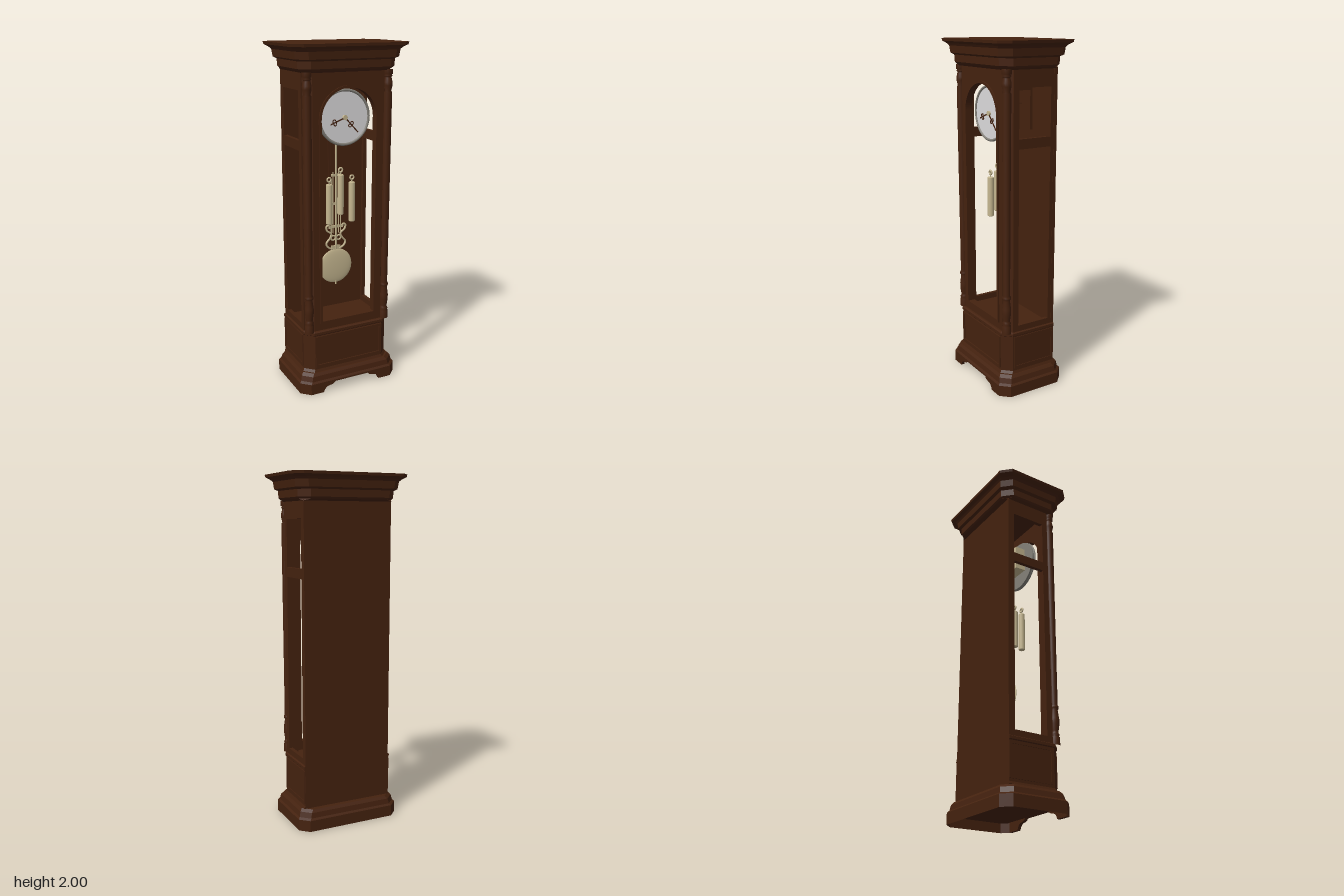
import * as THREE from 'three';

const mat = (name, color, side = THREE.FrontSide) => {
  const m = new THREE.MeshStandardMaterial({ color, side });
  m.name = name;
  return m;
};

export function createModel() {
  const wood = mat('dark wood', 0x45220f);
  const woodThin = mat('dark wood thin', 0x45220f, THREE.DoubleSide);
  const brass = mat('pale brass', 0xc6b790);
  const steel = mat('grey steel', 0x85827a);
  const white = mat('dial white', 0xdedcde);

  const clock = new THREE.Group();
  clock.name = 'longcaseClock';

  const add = (name, geo, m, x = 0, y = 0, z = 0, parent = clock) => {
    const mesh = new THREE.Mesh(geo, m);
    mesh.name = name;
    mesh.position.set(x, y, z);
    parent.add(mesh);
    return mesh;
  };
  const box = (name, m, w, h, d, x, y, z, parent) =>
    add(name, new THREE.BoxGeometry(w, h, d), m, x, y, z, parent);
  const rod = (name, m, r, y0, y1, x, z, parent, n = 10) =>
    add(name, new THREE.CylinderGeometry(r, r, y1 - y0, n), m, x, (y0 + y1) / 2, z, parent);
  const extrude = (shape, depth) =>
    new THREE.ExtrudeGeometry(shape, { depth, bevelEnabled: false, curveSegments: 24 });
  const lathe = (pts, n = 20) =>
    new THREE.LatheGeometry(pts.map(([r, y]) => new THREE.Vector2(r, y)), n);

  // Plan outline with chamfered corners, running front, left, back, right
  const plan = (hx, zf, zb, cf, cb) => [
    [cf - hx, zf], [hx - cf, zf], [hx, zf - cf], [hx, zb + cb],
    [hx - cb, zb], [cb - hx, zb], [-hx, zb + cb], [-hx, zf - cf]];

  // Stack of outlines [y, points]; walls picks which sides are made
  const loft = (rings, caps = true, walls = () => true) => {
    const p = [];
    const v = (r, i) => p.push(r[1][i % r[1].length][0], r[0], r[1][i % r[1].length][1]);
    for (let k = 0; k + 1 < rings.length; k++) {
      const [a, b] = [rings[k], rings[k + 1]];
      for (let i = 0; i < a[1].length; i++) {
        if (!walls(i)) continue;
        v(a, i); v(a, i + 1); v(b, i + 1);
        v(a, i); v(b, i + 1); v(b, i);
      }
    }
    if (caps) {
      const [a, b] = [rings[0], rings[rings.length - 1]];
      for (let i = 1; i + 1 < a[1].length; i++) {
        v(b, 0); v(b, i); v(b, i + 1);
        v(a, 0); v(a, i + 1); v(a, i);
      }
    }
    const g = new THREE.BufferGeometry();
    g.setAttribute('position', new THREE.Float32BufferAttribute(p, 3));
    g.computeVertexNormals();
    return g;
  };
  const rect = (S, x0, y0, x1, y1) => {
    const s = new S();
    s.moveTo(x0, y0); s.lineTo(x1, y0); s.lineTo(x1, y1); s.lineTo(x0, y1); s.closePath();
    return s;
  };
  const arch = (S, w, y0, yc) => {
    const s = new S();
    s.moveTo(-w, y0); s.lineTo(w, y0); s.lineTo(w, yc);
    s.absarc(0, yc, w, 0, Math.PI, false);
    s.closePath();
    return s;
  };
  const frame = (x0, y0, x1, y1, t) => {
    const s = rect(THREE.Shape, x0, y0, x1, y1);
    s.holes.push(rect(THREE.Path, x0 + t, y0 + t, x1 - t, y1 - t));
    return s;
  };

  // Base with bracket feet
  const baseRing = (y, hx, hz) => [y, plan(hx, hz, -hz, 0.05, 0.05)];
  add('baseMoulding', loft([
    baseRing(0.055, 0.315, 0.215), baseRing(0.065, 0.315, 0.215), baseRing(0.075, 0.305, 0.205),
    baseRing(0.105, 0.298, 0.2), baseRing(0.12, 0.285, 0.188)]), wood);
  const skirt = [baseRing(0, 0.315, 0.215), baseRing(0.056, 0.315, 0.215)];
  add('baseSkirtSides', loft(skirt, false, i => i !== 0 && i !== 4), woodThin);
  add('baseSkirtBack', loft(skirt, false, i => i === 4), wood);
  const foot = new THREE.Shape();
  foot.moveTo(-0.265, 0);
  foot.lineTo(-0.185, 0);
  foot.quadraticCurveTo(-0.175, 0.035, -0.145, 0.037);
  foot.quadraticCurveTo(-0.115, 0.04, -0.11, 0.056);
  foot.lineTo(-0.265, 0.056);
  for (const s of [1, -1]) {
    const f = add('frontFoot', extrude(foot, 0.02), wood, 0, 0, 0.195);
    f.scale.x = s;
  }

  // Pedestal with framed panels
  const bodyRing = (y, e) => [y, plan(0.268 + e, 0.17 + e, -0.16, 0.05, 0)];
  add('pedestal', loft([bodyRing(0.12, 0.01), bodyRing(0.135, 0.003), bodyRing(0.35, 0.003),
    bodyRing(0.355, 0.008), bodyRing(0.37, 0.008), bodyRing(0.375, 0)]), wood);
  add('pedestalFrontFrame', extrude(frame(-0.218, 0.15, 0.218, 0.345, 0.014), 0.008), wood, 0, 0, 0.172);

  // Door frame with arched opening
  const door = rect(THREE.Shape, -0.218, 0.37, 0.218, 1.855);
  door.holes.push(arch(THREE.Path, 0.168, 0.43, 1.597));
  add('doorFrame', extrude(door, 0.035), wood, 0, 0, 0.125);
  const trim = arch(THREE.Shape, 0.182, 0.416, 1.597);
  trim.holes.push(arch(THREE.Path, 0.168, 0.43, 1.597));
  add('doorTrim', extrude(trim, 0.008), wood, 0, 0, 0.16);
  box('backBoard', wood, 0.536, 1.74, 0.02, 0, 0.985, -0.15);

  // Sides, corner posts and turned columns
  const sideShape = rect(THREE.Shape, -0.12, 0.37, 0.16, 1.855);
  sideShape.holes.push(rect(THREE.Path, -0.085, 0.41, 0.12, 1.43));
  sideShape.holes.push(rect(THREE.Path, -0.085, 1.485, 0.12, 1.755));
  const post = [[0.205, 0.155], [0.218, 0.155], [0.266, 0.115], [0.266, 0.09], [0.205, 0.09]];
  const colEnd = [[0.027, 0], [0.027, 0.045], [0.02, 0.05], [0.026, 0.06], [0.02, 0.07],
    [0.02, 0.08], [0.026, 0.12], [0.026, 0.15], [0.019, 0.2], [0.025, 0.21], [0.025, 0.22], [0.02, 0.23]];
  const column = [...colEnd.map(([r, y]) => [r, 0.372 + y]),
    ...colEnd.slice(0, 10).reverse().map(([r, y]) => [r, 1.855 - y * 0.6])];
  for (const s of [1, -1]) {
    const half = new THREE.Group();
    half.name = s > 0 ? 'leftSide' : 'rightSide';
    half.scale.x = s;
    clock.add(half);
    add('sidePanel', extrude(sideShape, 0.022), wood, 0.245, 0, 0, half).rotation.y = Math.PI / 2;
    add('pedestalSideFrame', extrude(frame(-0.115, 0.15, 0.158, 0.345, 0.014), 0.005), wood, 0.27, 0, 0, half)
      .rotation.y = Math.PI / 2;
    add('cornerPost', loft([[0.37, post], [1.855, post]]), wood, 0, 0, 0, half);
    add('cornerColumn', lathe(column, 18), wood, 0.246, 0, 0.151, half);
  }

  // Cornice
  const cap = (y, hx, hz, c = 0.055) => [y, plan(hx, hz, -hz, c, c)];
  add('cornice', loft([
    [1.85, plan(0.27, 0.175, -0.16, 0.05, 0.001)], cap(1.86, 0.285, 0.185), cap(1.87, 0.293, 0.193),
    cap(1.91, 0.295, 0.195), cap(1.92, 0.312, 0.21), cap(1.96, 0.318, 0.214),
    cap(1.972, 0.33, 0.222), cap(1.985, 0.352, 0.24), cap(2, 0.356, 0.242)]), wood);

  // Dial and hands
  const dial = new THREE.Group();
  dial.name = 'dial';
  dial.position.set(0, 1.597, 0.105);
  clock.add(dial);
  const disc = (name, m, r, h, z) =>
    add(name, new THREE.CylinderGeometry(r, r, h, 48), m, 0, 0, z, dial).rotation.x = Math.PI / 2;
  disc('dialBack', steel, 0.155, 0.014, -0.008);
  disc('dialFace', white, 0.145, 0.004, 0.001);
  add('dialRing', new THREE.TorusGeometry(0.15, 0.008, 8, 64), steel, 0, 0, 0.002, dial);
  disc('dialHub', brass, 0.014, 0.012, 0.008);
  const hand = (name, angle, length, eye) => {
    const h = new THREE.Group();
    h.name = name;
    h.rotation.z = angle;
    h.position.z = 0.01;
    dial.add(h);
    box('handBar', wood, length, 0.006, 0.004, length / 2, 0, 0, h);
    for (const s of [1, -1])
      add('handScroll', new THREE.TorusGeometry(0.009, 0.003, 6, 14), wood, length * eye, s * 0.008, 0, h);
  };
  hand('hourHand', Math.PI + 0.37, 0.095, 0.72);
  hand('minuteHand', -0.82, 0.118, 0.45);

  // Movement, chime block and rods
  box('movement', brass, 0.15, 0.15, 0.065, 0, 1.605, 0.055);
  box('movementArm', wood, 0.01, 0.006, 0.13, 0, 1.643, -0.04);
  box('pendulumHanger', steel, 0.02, 0.04, 0.04, 0, 1.6, 0.005);
  box('chimeBlock', wood, 0.18, 0.03, 0.09, 0, 1.738, -0.06);
  box('chimeBoard', wood, 0.18, 0.25, 0.016, 0, 1.625, -0.112);
  for (let i = 0; i < 8; i++)
    rod('chimeRod', wood, 0.002, 1.19 + i * 0.035, 1.73, -0.035 + i * 0.01, -0.03 - (i % 4) * 0.011, clock, 6);

  // Weights
  [[-0.073, 0.98], [0, 1.03], [0.073, 0.98]].forEach(([x, y]) => {
    const w = new THREE.Group();
    w.name = 'weight';
    w.position.set(x, y, 0.06);
    clock.add(w);
    add('weightShell', lathe([[0, 0], [0.016, 0], [0.019, 0.004], [0.019, 0.231], [0.016, 0.235], [0, 0.235]]), brass, 0, 0, 0, w);
    rod('weightHook', brass, 0.004, 0.235, 0.25, 0, 0, w);
    add('weightPulley', new THREE.TorusGeometry(0.012, 0.005, 8, 20), brass, 0, 0.262, 0, w);
  });

  // Pendulum with gridiron, lyre and bob
  rod('pendulumRod', brass, 0.006, 0.8, 1.6, 0, 0);
  for (const x of [-0.03, -0.018, 0.018, 0.03])
    rod('gridRod', brass, 0.0035, 0.9, x * x > 0.0005 ? 1.23 : 1.27, x, 0, clock, 8);
  for (const [y, w] of [[1.25, 0.06], [1.08, 0.075], [0.94, 0.085]])
    box('gridBar', brass, w, 0.014, 0.007, 0, y, 0);
  const scroll = new THREE.CatmullRomCurve3([[0.02, 0.8], [0.05, 0.815], [0.063, 0.84], [0.04, 0.87],
    [0.03, 0.895], [0.058, 0.92], [0.062, 0.945], [0.045, 0.95], [0.042, 0.93]]
    .map(([x, y]) => new THREE.Vector3(x, y, 0)));
  for (const s of [1, -1]) {
    add('lyreScroll', new THREE.TubeGeometry(scroll, 40, 0.006, 6), brass).scale.x = s;
    add('lyreCurl', new THREE.TorusGeometry(0.014, 0.005, 6, 18), brass, s * 0.018, 0.87, 0);
  }
  box('lyreFoot', brass, 0.06, 0.025, 0.007, 0, 0.81, 0);
  const bob = add('pendulumBob', new THREE.SphereGeometry(0.107, 40, 20), brass, 0, 0.693, -0.004);
  bob.scale.z = 0.11;
  rod('bobScrew', brass, 0.004, 0.575, 0.6, 0, 0);

  return clock;
}
